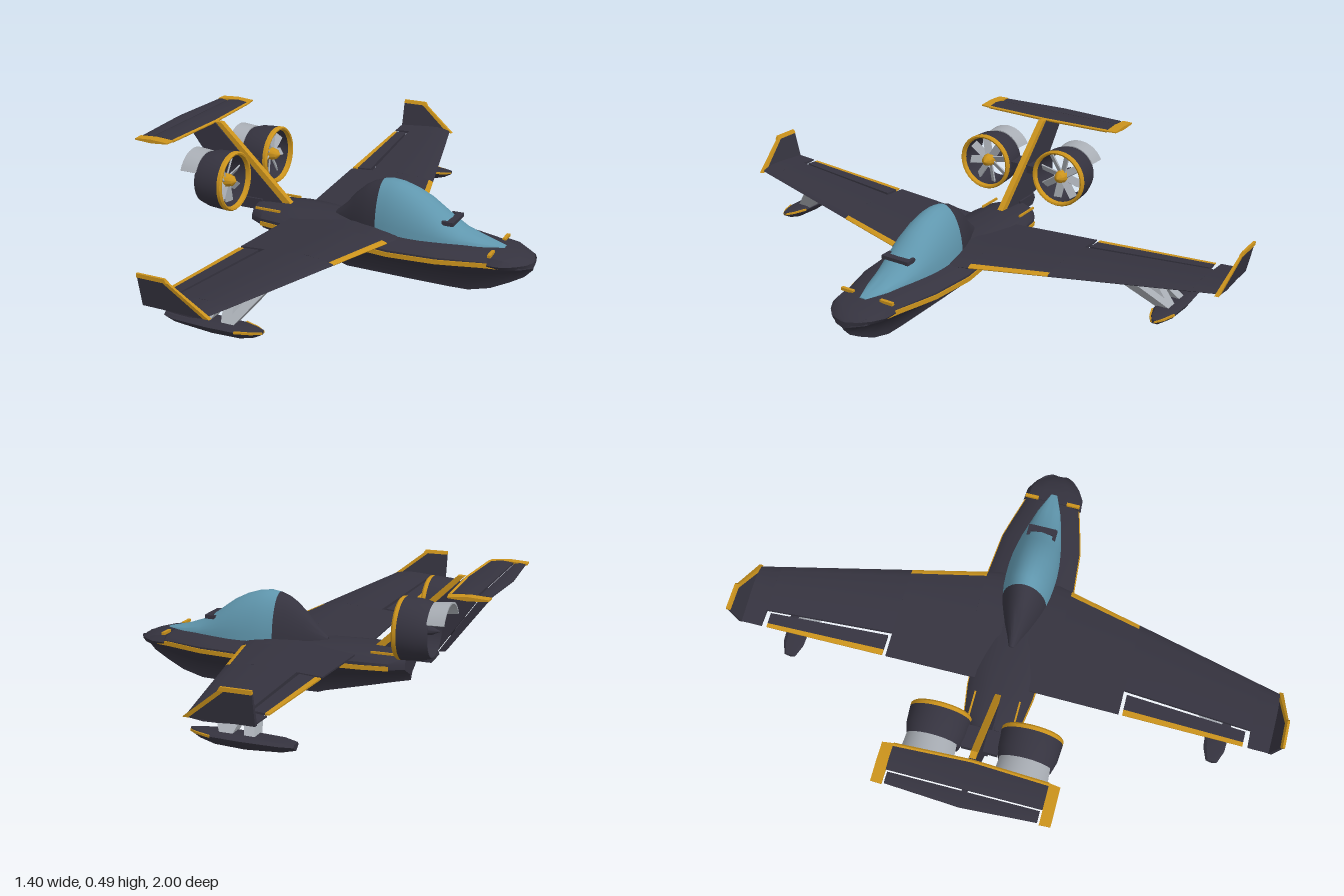
import * as THREE from 'three';
import { toCreasedNormals } from 'three/addons/utils/BufferGeometryUtils.js';

const paint = (name, color) => Object.assign(new THREE.MeshStandardMaterial({ color }), { name });

// Turns a closed non-indexed geometry so that its faces point outwards
function flip(geo) {
  const p = geo.attributes.position.array;
  for (let i = 0; i < p.length; i += 9)
    for (let k = 3; k < 6; k++) [p[i + k], p[i + k + 3]] = [p[i + k + 3], p[i + k]];
}
function orient(geo) {
  const p = geo.attributes.position, a = new THREE.Vector3(), b = new THREE.Vector3(), c = new THREE.Vector3();
  let v = 0;
  for (let i = 0; i < p.count; i += 3)
    v += a.fromBufferAttribute(p, i).dot(b.fromBufferAttribute(p, i + 1).cross(c.fromBufferAttribute(p, i + 2)));
  if (v < 0) flip(geo);
}

// Capped skin through rings of [x, y, z] points
function loft(rings) {
  const n = rings[0].length, pos = rings.flat(2), idx = [];
  for (let r = 0; r < rings.length - 1; r++)
    for (let i = 0; i < n; i++) {
      const a = r * n + i, b = r * n + (i + 1) % n;
      idx.push(a, b, b + n, a, b + n, a + n);
    }
  [0, rings.length - 1].forEach((r, end) => {
    const c = pos.length / 3;
    for (let k = 0; k < 3; k++) pos.push(rings[r].reduce((s, q) => s + q[k], 0) / n);
    for (let i = 0; i < n; i++) {
      const a = r * n + i, b = r * n + (i + 1) % n;
      if (end) idx.push(c, a, b); else idx.push(c, b, a);
    }
  });
  const geo = new THREE.BufferGeometry();
  geo.setAttribute('position', new THREE.Float32BufferAttribute(pos, 3));
  geo.setIndex(idx);
  return geo;
}
const plate = (pts, z0, z1) => loft([z0, z1].map(z => pts.map(([x, y]) => [x, y, z])));
const box = (w, h, d, x, y, z) => new THREE.BoxGeometry(w, h, d).translate(x, y, z);
// Ring across the hull from one side's [y, z] points
const across = (x, half) => [...half.map(([y, z]) => [x, y, z]), ...half.slice().reverse().map(([y, z]) => [x, y, -z])];
// Rectangle in plan at height y
const rect = (x0, x1, y, z0, z1) => [[x0, y, z0], [x1, y, z0], [x1, y, z1], [x0, y, z1]];

// Wing airfoil, u = 0 at the leading edge and 1 at the trailing edge
function airfoil(z, t0, t1, b0 = t0, b1 = t1) {
  const f = (z - 0.16) / 0.81, le = 0.23 - 0.21 * f, te = -0.18 - 0.02 * f;
  const yc = 0.194 + 0.044 * f, th = 0.021 - 0.008 * f;
  const h = u => th * (u < 0.3 ? Math.sqrt(u / 0.3) : 1 - 0.85 * (u - 0.3) / 0.7);
  const top = [], bottom = [];
  for (let k = 0; k <= 6; k++) {
    const s = (k / 6) ** 2, ut = t0 + (t1 - t0) * s, ub = b0 + (b1 - b0) * s;
    top.unshift([le + (te - le) * ut, yc + h(ut), z]);
    bottom.push([le + (te - le) * ub, yc - h(ub), z]);
  }
  return [...top, ...bottom];
}
const panel = (z0, z1, ...u) => loft([airfoil(z0, ...u), airfoil(z1, ...u)]);

export function createModel() {
  const model = new THREE.Group();
  model.name = 'seaplane';
  const dark = paint('charcoal', 0x35333f), gold = paint('gold', 0xcb931c);
  const glass = paint('canopy blue', 0x6097ae), grey = paint('light grey', 0xa8adb4);

  const add = (name, source, mat, pair = false, crease = 0.6) => {
    for (const side of pair ? [1, -1] : [1]) {
      let geo = source.index ? source.toNonIndexed() : source.clone();
      for (const key of ['uv', 'normal']) geo.deleteAttribute(key);
      geo.scale(1, 1, side);
      orient(geo);
      geo.computeVertexNormals();
      geo = toCreasedNormals(geo, crease);
      const mesh = new THREE.Mesh(geo, mat);
      mesh.name = pair ? (side > 0 ? 'rear side ' : 'far side ').replace('rear', 'near') + name : name;
      model.add(mesh);
    }
  };

  // Hull: x, keel, chine height, deck height, half width
  const hull = [
    [-0.352, 0.09, 0.15, 0.2, 0.075], [-0.3, 0.078, 0.15, 0.205, 0.105], [-0.2, 0.053, 0.15, 0.21, 0.12],
    [-0.03, 0.012, 0.15, 0.206, 0.13], [0, 0.002, 0.15, 0.203, 0.14], [0.23, 0, 0.15, 0.2, 0.165],
    [0.4, 0, 0.15, 0.198, 0.15], [0.47, 0.002, 0.15, 0.195, 0.132], [0.55, 0.024, 0.15, 0.189, 0.11],
    [0.62, 0.06, 0.148, 0.178, 0.092], [0.67, 0.09, 0.143, 0.165, 0.07], [0.7, 0.122, 0.138, 0.152, 0.03]];
  const flare = [[0, 0.004], [0.13, 0.04], [0.45, 0.2], [0.6, 0.45], [0.87, 0.86], [1, 1]];
  add('hull', loft(hull.map(([x, k, c, d, w]) => across(x, [
    ...flare.map(([f, s]) => [k + (c - k) * f, w * s]),
    [c + (d - c) * 0.4, w * 0.99], [d - (d - c) * 0.22, w * 0.8], [d, w * 0.35]]))), dark, false, 0.7);
  add('hull stripe', loft(hull.slice(1, 10).map(([x, , c, , w]) =>
    [[x, c - 0.003, w - 0.012], [x, c - 0.003, w + 0.003], [x, c + 0.013, w + 0.003], [x, c + 0.013, w - 0.012]])), gold, true);
  add('rear deck stripe', box(0.1, 0.008, 0.006, -0.28, 0.202, 0.082), gold, true);
  add('nose cap', loft([[0.57, 0.19, 0.112], [0.62, 0.184, 0.108], [0.66, 0.174, 0.084], [0.69, 0.162, 0.055], [0.702, 0.152, 0.03]]
    .map(([x, y, w]) => across(x, [[0.145, w * 0.9], [0.158, w], [y - 0.008, w * 0.85], [y, w * 0.4]]))), dark);
  add('nose cap stripe', box(0.012, 0.01, 0.05, 0.575, 0.189, 0.08), gold, true);

  // Canopy: x, top height, half width
  const dome = list => loft(list.map(([x, y, w]) => {
    const ring = [];
    for (let i = 0; i <= 16; i++) {
      const a = Math.PI * i / 16;
      ring.push([x, 0.19 + (y - 0.19) * Math.sin(a), w * Math.cos(a)]);
    }
    return ring;
  }));
  add('canopy fairing', dome([[-0.04, 0.215, 0.012], [0, 0.25, 0.026], [0.04, 0.297, 0.045], [0.08, 0.333, 0.062],
    [0.11, 0.352, 0.073], [0.146, 0.365, 0.083]]), dark, false, 0.8);
  add('canopy glass', dome([[0.146, 0.365, 0.083], [0.18, 0.37, 0.089], [0.22, 0.366, 0.092], [0.27, 0.35, 0.093],
    [0.32, 0.325, 0.09], [0.36, 0.297, 0.084], [0.4, 0.267, 0.077], [0.45, 0.236, 0.064], [0.52, 0.211, 0.045], [0.6, 0.193, 0.012]]), glass, false, 0.8);
  add('canopy bar', box(0.025, 0.012, 0.1, 0.415, 0.258, 0), dark);
  add('canopy bar end', box(0.042, 0.014, 0.012, 0.405, 0.257, 0.048), dark, true);

  // Wings with cut-out ailerons
  add('inner wing', loft([airfoil(0.05, 0, 1), airfoil(0.16, 0, 1)]), dark, true);
  add('middle wing', panel(0.16, 0.43, 0.05, 1, 0.18, 1), dark, true);
  add('wing leading edge', panel(0.16, 0.43, 0, 0.05, 0, 0.18), gold, true);
  add('outer wing', panel(0.43, 0.89, 0, 0.74), dark, true);
  add('wing tip', panel(0.89, 0.975, 0, 1), dark, true);
  add('aileron', panel(0.443, 0.872, 0.78, 0.94), dark, true);
  add('aileron edge', panel(0.443, 0.872, 0.94, 1), gold, true);

  // Winglets
  const fence = (a, b) => loft([rect(a[0], a[1], a[2], a[3], a[3] + 0.014), rect(b[0], b[1], b[2], b[3], b[3] + 0.008)]);
  add('winglet', fence([-0.2, 0.01, 0.232, 0.962], [-0.2, -0.115, 0.332, 0.987]), dark, true);
  add('winglet leading edge', fence([0.01, 0.03, 0.232, 0.962], [-0.115, -0.095, 0.332, 0.987]), gold, true);
  add('winglet top', fence([-0.2, -0.095, 0.332, 0.985], [-0.2, -0.103, 0.345, 0.991]), gold, true);

  // Wing floats and their struts: x, bottom, top, half width
  const pod = [[-0.245, 0.1, 0.122, 0.02], [-0.2, 0.088, 0.126, 0.038], [-0.08, 0.08, 0.128, 0.045],
    [0.02, 0.084, 0.128, 0.04], [0.07, 0.098, 0.128, 0.024], [0.1, 0.115, 0.128, 0.006]];
  add('float', loft(pod.map(([x, b, t, w]) =>
    across(x, [[b, 0.003], [b + (t - b) * 0.5, w * 0.8], [t - 0.008, w], [t, w * 0.7]]).map(([X, y, z]) => [X, y, z + 0.79]))), dark, true);
  for (const s of [1, -1])
    add('float stripe', loft(pod.slice(3).map(([x, , t, w]) => [[t - 0.011, w - 0.004], [t - 0.011, w + 0.002], [t - 0.004, w + 0.002], [t - 0.004, w - 0.004]]
      .map(([y, z]) => [x, y, 0.79 + s * z]))), gold, true);
  for (const [bottom, top] of [[-0.12, -0.08], [-0.04, 0.03], [-0.04, -0.07]])
    add('float strut', loft([rect(bottom, bottom + 0.035, 0.118, 0.755, 0.81), rect(top, top + 0.035, 0.212, 0.645, 0.715)]), grey, true);

  // Fin, rudder and T-tail
  add('fin', plate([[-0.25, 0.2], [-0.535, 0.478], [-0.635, 0.478], [-0.612, 0.445], [-0.44, 0.2]], -0.013, 0.013), dark);
  add('fin leading edge', plate([[-0.22, 0.205], [-0.51, 0.482], [-0.535, 0.482], [-0.252, 0.2]], -0.011, 0.011), gold);
  add('fin root', plate([[-0.34, 0.21], [-0.34, 0.168], [-0.43, 0.168], [-0.447, 0.19], [-0.44, 0.21]], -0.02, 0.02), dark);
  add('rudder', plate([[-0.62, 0.452], [-0.66, 0.455], [-0.475, 0.21], [-0.45, 0.208]], -0.008, 0.008), dark);
  const tail = (x0, x1, x2, x3, z0, z1, h) => loft([[x0, x1, z0], [x2, x3, z1]].map(([a, b, z]) =>
    [[a, 0.479 - h * 0.4, z], [a, 0.479 + h * 0.4, z], [(a + b) / 2, 0.479 + h, z], [b, 0.479 + h * 0.3, z], [b, 0.479 - h * 0.3, z], [(a + b) / 2, 0.479 - h, z]]));
  add('stabilizer', tail(-0.64, -0.548, -0.64, -0.56, 0, 0.262, 0.008), dark, true);
  add('stabilizer leading edge', tail(-0.548, -0.537, -0.56, -0.548, 0, 0.262, 0.006), gold, true);
  add('elevator', tail(-0.7, -0.646, -0.685, -0.646, 0, 0.255, 0.005), dark, true);
  add('tail tip', tail(-0.69, -0.55, -0.688, -0.555, 0.262, 0.3, 0.007), gold, true);

  // Ducted fans, turned about the x axis
  const turned = (pts, x = 0) => new THREE.LatheGeometry(pts.map(p => new THREE.Vector2(...p)), 32)
    .rotateZ(-Math.PI / 2).translate(x, 0.325, 0.162);
  add('duct', turned([[0.092, -0.48], [0.104, -0.44], [0.108, -0.378], [0.094, -0.378], [0.09, -0.42], [0.088, -0.48], [0.092, -0.48]]), dark, true);
  add('duct lip', turned([[0.108, -0.378], [0.108, -0.366], [0.103, -0.36], [0.097, -0.362], [0.094, -0.378], [0.108, -0.378]]), gold, true);
  add('fan hub', turned([[0, -0.42], [0.024, -0.42], [0.024, -0.395], [0.018, -0.375], [0, -0.36]]), gold, true);
  add('fan tail cone', turned([[0, -0.5], [0.014, -0.47], [0.022, -0.42], [0, -0.42]]), dark, true);
  for (let i = 0; i < 8; i++)
    add('fan blade', new THREE.BoxGeometry(0.005, 0.07, 0.03).rotateY(0.6).translate(0, 0.055, 0)
      .rotateX(i * Math.PI / 4 + 0.2).translate(-0.405, 0.325, 0.162), grey, true);
  add('duct pylon', box(0.08, 0.03, 0.056, -0.43, 0.325, 0.036), dark, true);

  // Curved flap behind the top of each duct
  const arc = [];
  for (let i = 0; i <= 14; i++) {
    const a = 0.45 + (Math.PI - 0.9) * i / 14;
    arc.push([[-0.475, 0.097], [-0.535, 0.102], [-0.535, 0.096], [-0.475, 0.089]]
      .map(([x, r]) => [x, 0.325 + r * Math.sin(a), 0.162 + r * Math.cos(a)]));
  }
  add('duct flap', loft(arc), grey, true);
  return model;
}
